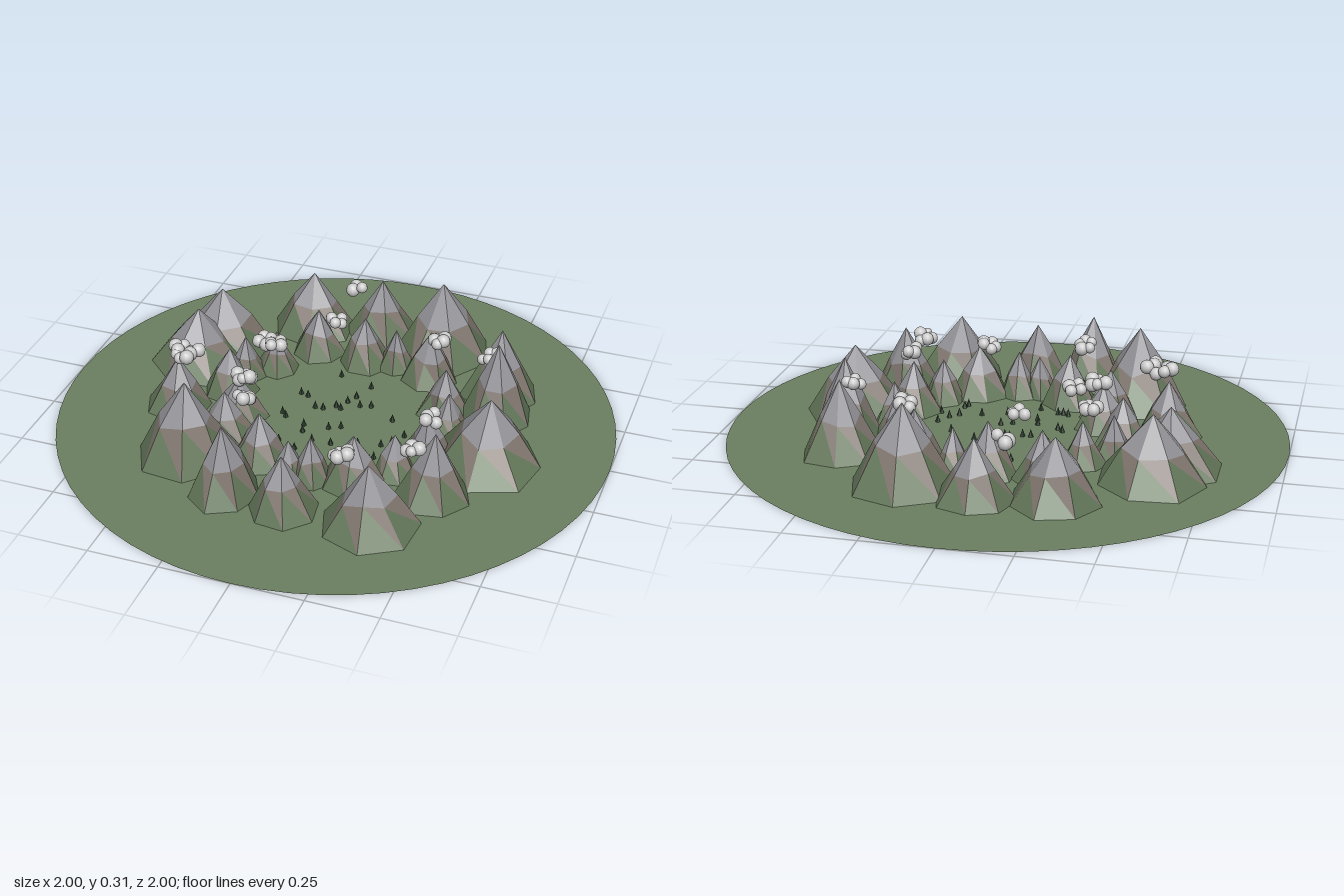
import * as THREE from 'three';

// Mountain rows: x, z, base radius, height
const OUTER = [
  [-0.29, -0.575, 0.16, 0.23], [-0.03, -0.62, 0.13, 0.22], [0.23, -0.55, 0.18, 0.295],
  [0.515, -0.335, 0.135, 0.275], [0.54, -0.19, 0.135, 0.305], [0.59, 0.085, 0.19, 0.255],
  [0.47, 0.335, 0.135, 0.25], [0.31, 0.56, 0.17, 0.235], [0.015, 0.58, 0.125, 0.215],
  [-0.205, 0.56, 0.13, 0.27], [-0.41, 0.39, 0.18, 0.295], [-0.56, 0.11, 0.125, 0.2],
  [-0.61, -0.195, 0.19, 0.22], [-0.57, -0.33, 0.2, 0.24],
];
const INNER = [
  [-0.21, -0.4, 0.1, 0.18], [-0.02, -0.385, 0.1, 0.19], [0.1, -0.39, 0.075, 0.16],
  [0.245, -0.355, 0.11, 0.2], [0.36, -0.16, 0.1, 0.18], [0.41, -0.03, 0.08, 0.17],
  [0.385, 0.14, 0.1, 0.19], [0.305, 0.26, 0.08, 0.16], [0.19, 0.355, 0.11, 0.19],
  [0.045, 0.385, 0.08, 0.17], [-0.03, 0.4, 0.07, 0.15], [-0.16, 0.335, 0.11, 0.19],
  [-0.33, 0.235, 0.11, 0.18], [-0.325, 0.115, 0.1, 0.17], [-0.42, -0.035, 0.1, 0.18],
  [-0.41, -0.16, 0.08, 0.16], [-0.315, -0.235, 0.08, 0.16],
];
// Cloud rows: x, y, z, number of puffs
const CLOUDS = [
  [-0.115, 0.205, -0.565, 3], [-0.105, 0.205, -0.32, 4], [0.285, 0.2, -0.31, 5],
  [0.505, 0.225, -0.22, 5], [-0.32, 0.175, -0.145, 5], [-0.26, 0.21, -0.075, 4],
  [-0.525, 0.235, 0.125, 9], [-0.305, 0.175, 0.11, 6], [0.41, 0.205, 0.19, 4],
  [0.41, 0.205, 0.375, 5], [-0.215, 0.235, 0.325, 5], [0.17, 0.165, 0.44, 5],
];
// Tree positions: x, z
const TREES = [
  [-0.17, -0.1], [-0.14, -0.09], [-0.07, -0.26], [0.01, -0.1], [0.03, -0.14], [0.06, -0.22],
  [0, -0.05], [0.06, -0.09], [0.1, -0.1], [0.2, -0.04], [-0.09, -0.03], [-0.06, -0.03],
  [-0.19, 0.04], [-0.17, 0.06], [-0.09, 0.09], [-0.08, 0.13], [0, 0.08], [0.04, 0.06],
  [0.13, 0.14], [0.21, 0.12], [0.24, 0.09], [0.27, 0.04], [0.28, 0.13], [-0.03, 0.17],
  [0.04, 0.17], [-0.18, 0.2], [-0.16, 0.21], [-0.14, 0.21], [-0.07, 0.24], [0.21, 0.2],
  [0.2, 0.22], [-0.02, -0.06],
];

const flat = (color) => new THREE.MeshStandardMaterial({ color, flatShading: true });

function seeded(seed) {
  return () => {
    seed = (seed * 16807) % 2147483647;
    return seed / 2147483647;
  };
}

export function createModel() {
  const model = new THREE.Group();
  model.name = 'mountainRing';
  const rand = seeded(4271);
  const between = (a, b) => a + (b - a) * rand();

  const add = (parent, name, geometry, material, x = 0, y = 0, z = 0) => {
    const mesh = new THREE.Mesh(geometry, material);
    mesh.name = name;
    mesh.position.set(x, y, z);
    parent.add(mesh);
    return mesh;
  };

  // Grass disc
  const grass = new THREE.MeshStandardMaterial({ color: 0x6b8060, side: THREE.DoubleSide });
  add(model, 'ground', new THREE.CircleGeometry(1, 64).rotateX(-Math.PI / 2), grass);

  // Seven-sided peaks: grassy foot, earthy wedges, rocky top
  const bands = { grassyFoot: flat(0x64785a), earthySlope: flat(0x80766f), rockyPeak: flat(0x929297) };
  const SIDES = 7;

  function mountain([x, z, r, h]) {
    const group = new THREE.Group();
    group.name = 'mountain';
    group.position.set(x, 0, z);
    const turn = between(0, Math.PI * 2);
    const ring = (radius, y, spread) => Array.from({ length: SIDES }, (_, i) => {
      const a = turn + (i / SIDES) * Math.PI * 2;
      const d = radius * between(1 - spread, 1 + spread);
      return [Math.sin(a) * d, y * between(1 - spread, 1 + spread), Math.cos(a) * d];
    });
    const foot = ring(r, 0, 0.09);
    const waist = ring(r * 0.53, h * 0.5, 0.12);
    const tip = [0, h, 0];
    const faces = { grassyFoot: [], earthySlope: [], rockyPeak: [] };
    for (let i = 0; i < SIDES; i++) {
      const j = (i + 1) % SIDES;
      faces.grassyFoot.push(...foot[i], ...foot[j], ...waist[i]);
      faces.earthySlope.push(...foot[j], ...waist[j], ...waist[i]);
      faces.rockyPeak.push(...waist[i], ...waist[j], ...tip);
    }
    for (const [name, points] of Object.entries(faces)) {
      const geometry = new THREE.BufferGeometry();
      geometry.setAttribute('position', new THREE.Float32BufferAttribute(points, 3));
      geometry.computeVertexNormals();
      add(group, name, geometry, bands[name]);
    }
    return group;
  }

  for (const [name, rows] of [['outerMountains', OUTER], ['innerMountains', INNER]]) {
    const range = new THREE.Group();
    range.name = name;
    rows.forEach((row) => range.add(mountain(row)));
    model.add(range);
  }

  // Clouds of small round puffs
  const puff = new THREE.SphereGeometry(0.024, 10, 8);
  const white = new THREE.MeshStandardMaterial({ color: 0xcccccc });
  for (const [x, y, z, count] of CLOUDS) {
    const cloud = new THREE.Group();
    cloud.name = 'cloud';
    cloud.position.set(x, y, z);
    const reach = count > 6 ? 0.05 : 0.03;
    for (let i = 0; i < count; i++) {
      const a = (i / count) * Math.PI * 2 + between(0, 0.6);
      const d = reach * between(0.5, 1);
      add(cloud, 'puff', puff, white, Math.cos(a) * d, between(-0.012, 0.012), Math.sin(a) * d)
        .scale.setScalar(between(0.8, 1.1));
    }
    model.add(cloud);
  }

  // Tiny conifers in the valley
  const conifer = new THREE.ConeGeometry(0.01, 0.03, 5);
  const darkGreen = flat(0x2f4030);
  const forest = new THREE.Group();
  forest.name = 'valleyTrees';
  for (const [x, z] of TREES) {
    add(forest, 'tree', conifer, darkGreen, x, 0.015, z).rotation.y = between(0, Math.PI);
  }
  model.add(forest);

  return model;
}
